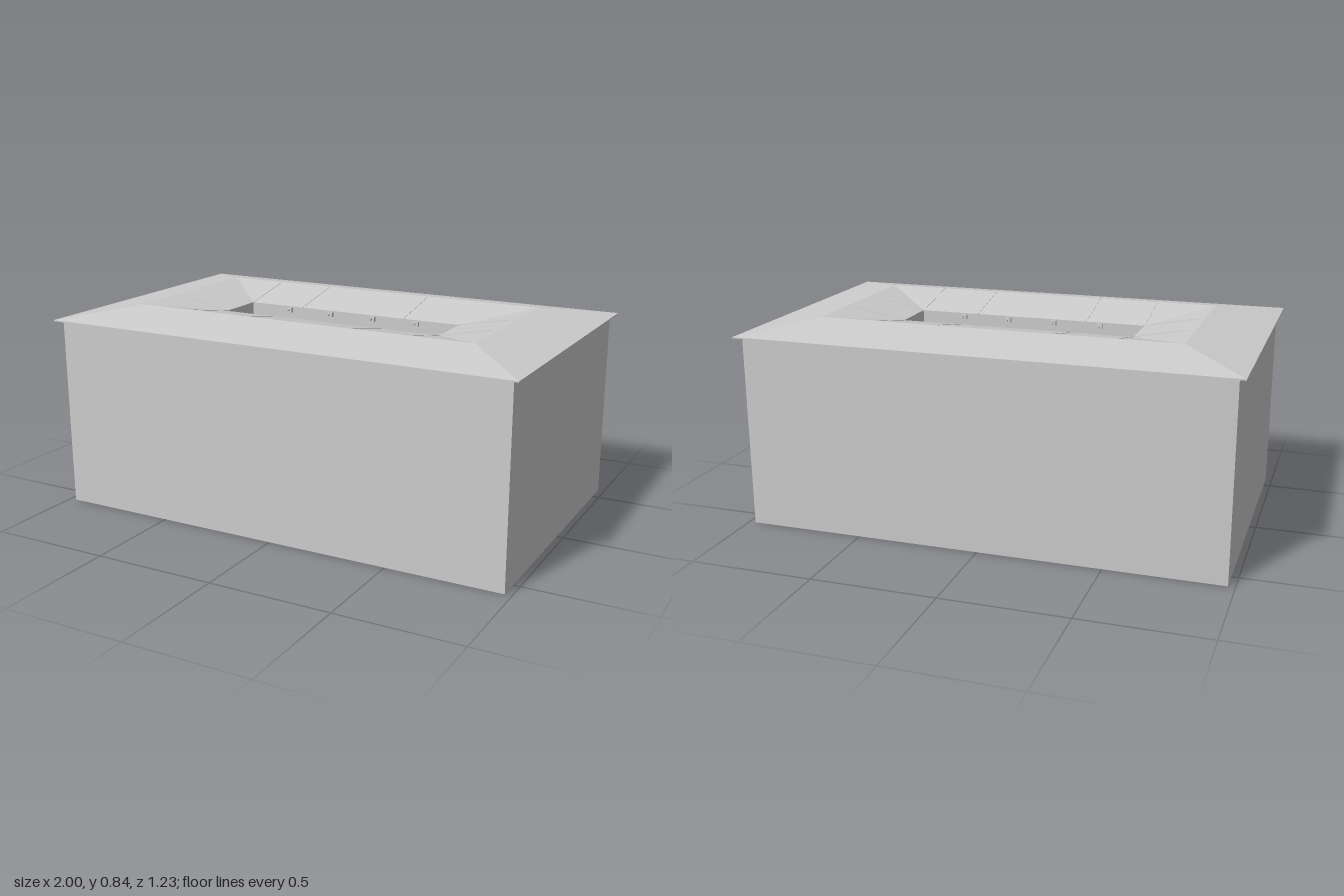
import * as THREE from 'three';

const mat = new THREE.MeshStandardMaterial({ color: 0xcccccc, flatShading: true, side: THREE.DoubleSide });
const EAVE = 0.785, RIDGE = 0.835, IN_X = 0.49, IN_Z = 0.105, BAND = 0.25;

// Skin a stack of rectangles given as [halfX, y, halfZ]; going up faces outward
function rings(name, profile) {
  const corners = [[1, 1], [1, -1], [-1, -1], [-1, 1]];
  const pos = [];
  for (let i = 0; i < profile.length - 1; i++) {
    for (let k = 0; k < 4; k++) {
      const at = (ring, c) => [ring[0] * c[0], ring[1], ring[2] * c[1]];
      const c0 = corners[k], c1 = corners[(k + 1) % 4];
      const a = at(profile[i], c0), b = at(profile[i], c1);
      const c = at(profile[i + 1], c1), d = at(profile[i + 1], c0);
      pos.push(...a, ...b, ...c, ...a, ...c, ...d);
    }
  }
  const geo = new THREE.BufferGeometry();
  geo.setAttribute('position', new THREE.Float32BufferAttribute(pos, 3));
  geo.computeVertexNormals();
  const mesh = new THREE.Mesh(geo, mat);
  mesh.name = name;
  return mesh;
}

function box(name, w, h, d, x, y, z) {
  const mesh = new THREE.Mesh(new THREE.BoxGeometry(w, h, d), mat);
  mesh.position.set(x, y, z);
  mesh.name = name;
  return mesh;
}

// Height of the inner roof slope above a plan position
function slopeY(x, z) {
  const out = Math.max(Math.abs(x) - IN_X, Math.abs(z) - IN_Z, 0);
  return EAVE + (RIDGE - EAVE) * Math.min(out / BAND, 1);
}

// Thin seam lying on the inner slope between two plan points
function seam(x0, z0, x1, z1) {
  const a = new THREE.Vector3(x0, slopeY(x0, z0), z0);
  const b = new THREE.Vector3(x1, slopeY(x1, z1), z1);
  const mesh = box('roofSeam', 0.005, 0.003, a.distanceTo(b), 0, 0, 0);
  mesh.position.copy(a).lerp(b, 0.5);
  mesh.lookAt(b);
  return mesh;
}

export function createModel() {
  const model = new THREE.Group();
  model.name = 'courtyardBuilding';

  // Shell: outer walls, double-pitched roof ring, courtyard walls
  model.add(rings('outerWalls', [[0.973, 0, 0.585], [0.973, EAVE, 0.585]]));
  model.add(rings('roof', [
    [0.973, EAVE, 0.585], [1, EAVE, 0.613], [1, 0.79, 0.613],
    [0.74, RIDGE, 0.355], [IN_X, EAVE, IN_Z],
  ]));
  model.add(rings('courtyardWalls', [[IN_X, EAVE, IN_Z], [IN_X, 0.004, IN_Z]]));
  model.add(box('groundSlab', 1.946, 0.004, 1.17, 0, 0.002, 0));

  // Seams on the inner slopes, mirrored to all four quarters
  const seams = new THREE.Group();
  seams.name = 'roofSeams';
  for (const sx of [1, -1]) {
    for (const sz of [1, -1]) {
      seams.add(
        seam(sx * 0.24, sz * IN_Z, sx * 0.24, sz * 0.35),
        seam(sx * IN_X, sz * IN_Z, sx * IN_X, sz * 0.35),
        seam(sx * IN_X, sz * IN_Z, sx * 0.7, sz * IN_Z),
      );
    }
  }
  model.add(seams);

  // Small brackets under the courtyard eaves
  const brackets = new THREE.Group();
  brackets.name = 'eaveBrackets';
  for (const sz of [1, -1]) {
    for (const x of [-0.3, -0.1, 0.1, 0.3]) {
      brackets.add(
        box('bracket', 0.025, 0.02, 0.012, x, EAVE - 0.015, sz * (IN_Z - 0.006)),
        box('bracketStem', 0.005, 0.005, 0.03, x, EAVE - 0.015, sz * (IN_Z - 0.015)),
      );
    }
  }
  model.add(brackets);

  return model;
}
